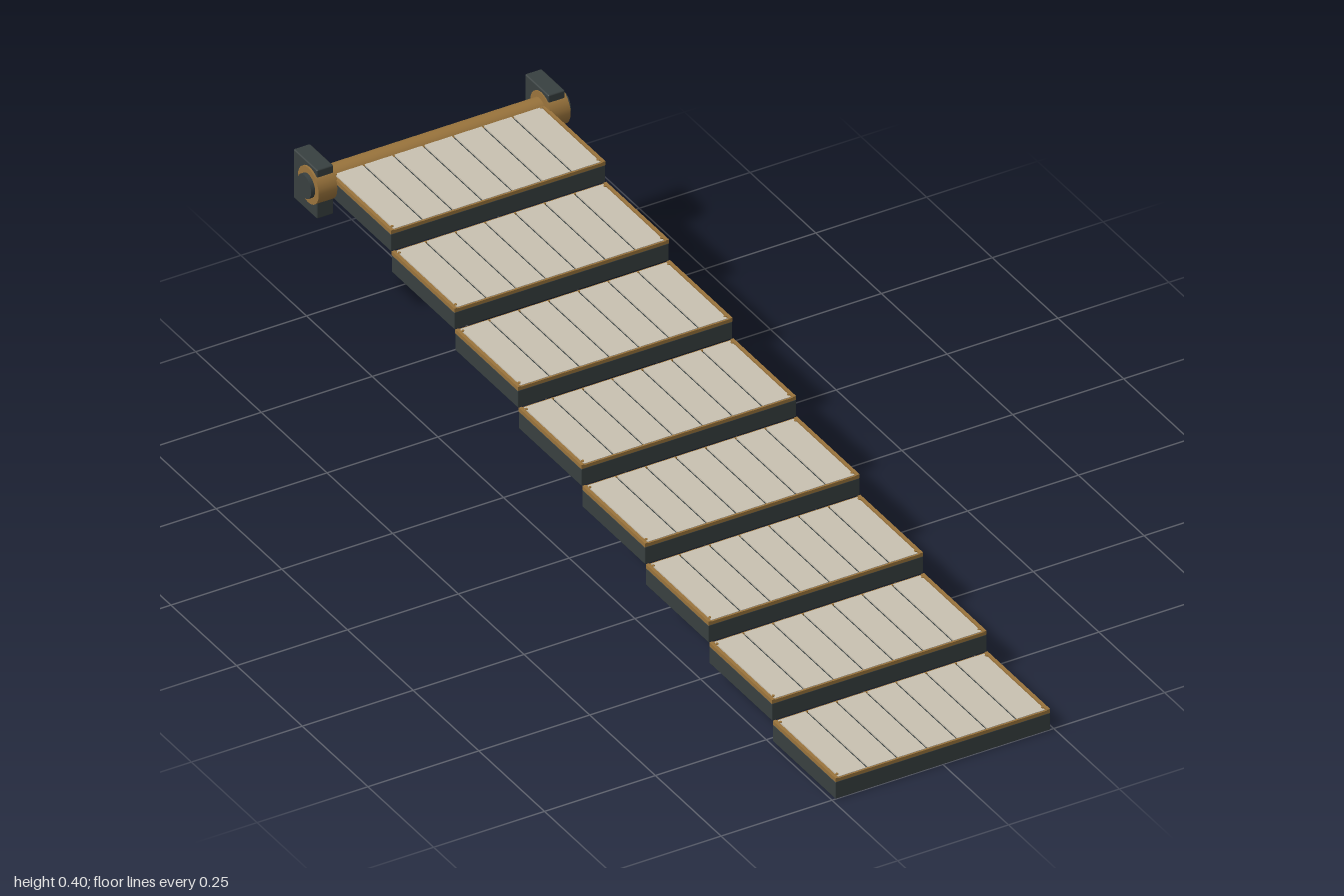
import * as THREE from 'three';
import { RoundedBoxGeometry } from 'three/addons/geometries/RoundedBoxGeometry.js';

const material = (name, color) => {
  const m = new THREE.MeshStandardMaterial({ color });
  m.name = name;
  return m;
};

export function createModel() {
  const iron = material('dark iron', 0x384040);
  const brass = material('aged brass', 0x9a743c);
  const plank = material('pale plank', 0xc9c1b1);

  const model = new THREE.Group();
  model.name = 'steppedRamp';

  const add = (parent, name, geometry, mat, x, y, z) => {
    const mesh = new THREE.Mesh(geometry, mat);
    mesh.name = name;
    mesh.position.set(x, y, z);
    parent.add(mesh);
    return mesh;
  };
  // Cylinder lying along x
  const axle = (radius, length, sides) =>
    new THREE.CylinderGeometry(radius, radius, length, sides).rotateZ(Math.PI / 2);

  const steps = 8, pitch = 0.2418, rise = 0.0456;
  const length = 0.2385, width = 0.484, planks = 7;
  const rail = 0.007, bodyHeight = 0.039;

  const bodyGeo = new RoundedBoxGeometry(width, bodyHeight, length, 1, 0.0015);
  const bedGeo = new THREE.BoxGeometry(width - 2 * rail, 0.005, length - 2 * rail);
  const sideGeo = new THREE.BoxGeometry(rail, 0.009, length);
  const endGeo = new THREE.BoxGeometry(width - 2 * rail, 0.0075, 0.005);
  const plankPitch = (width - 2 * rail) / planks;
  const plankGeo = new THREE.BoxGeometry(plankPitch - 0.005, 0.005, length - 0.007);
  const rivetGeo = new THREE.CylinderGeometry(0.003, 0.003, 0.002, 8);

  // Treads climbing towards the back
  for (let i = 0; i < steps; i++) {
    const step = new THREE.Group();
    step.name = 'step' + (i + 1);
    step.position.set(0, i * rise, 1 - length / 2 - i * pitch);
    model.add(step);

    add(step, 'stepBody', bodyGeo, iron, 0, bodyHeight / 2, 0);
    add(step, 'plankBed', bedGeo, iron, 0, bodyHeight + 0.0025, 0);
    for (let p = 0; p < planks; p++) {
      add(step, 'plank', plankGeo, plank, (p - (planks - 1) / 2) * plankPitch, 0.0452, 0);
    }
    for (const s of [-1, 1]) {
      add(step, 'sideRail', sideGeo, brass, s * (width - rail) / 2, bodyHeight + 0.0045, 0);
      add(step, 'endRail', endGeo, brass, 0, bodyHeight + 0.00375, s * (length / 2 - 0.0025));
      for (const e of [-1, 1]) {
        add(step, 'rivet', rivetGeo, brass, s * 0.232, 0.0482, e * (length / 2 - 0.012));
      }
    }
  }

  // Hinge bar across the top end
  const hinge = new THREE.Group();
  hinge.name = 'hinge';
  hinge.position.set(0, 0.35, -0.94);
  model.add(hinge);
  add(hinge, 'hingeBar', axle(0.025, 0.5, 24), brass, 0, 0, 0);

  // Mounting bracket, hub and pin cap at each end
  for (const s of [-1, 1]) {
    add(hinge, 'bracket', new RoundedBoxGeometry(0.038, 0.113, 0.09, 1, 0.003), iron,
      s * 0.261, -0.0095, -0.015);
    add(hinge, 'hub', axle(0.04, 0.044, 24), brass, s * 0.262, 0, 0.004);
    add(hinge, 'pinCap', axle(0.026, 0.02, 20), iron, s * 0.283, 0, 0.004);
  }

  return model;
}
